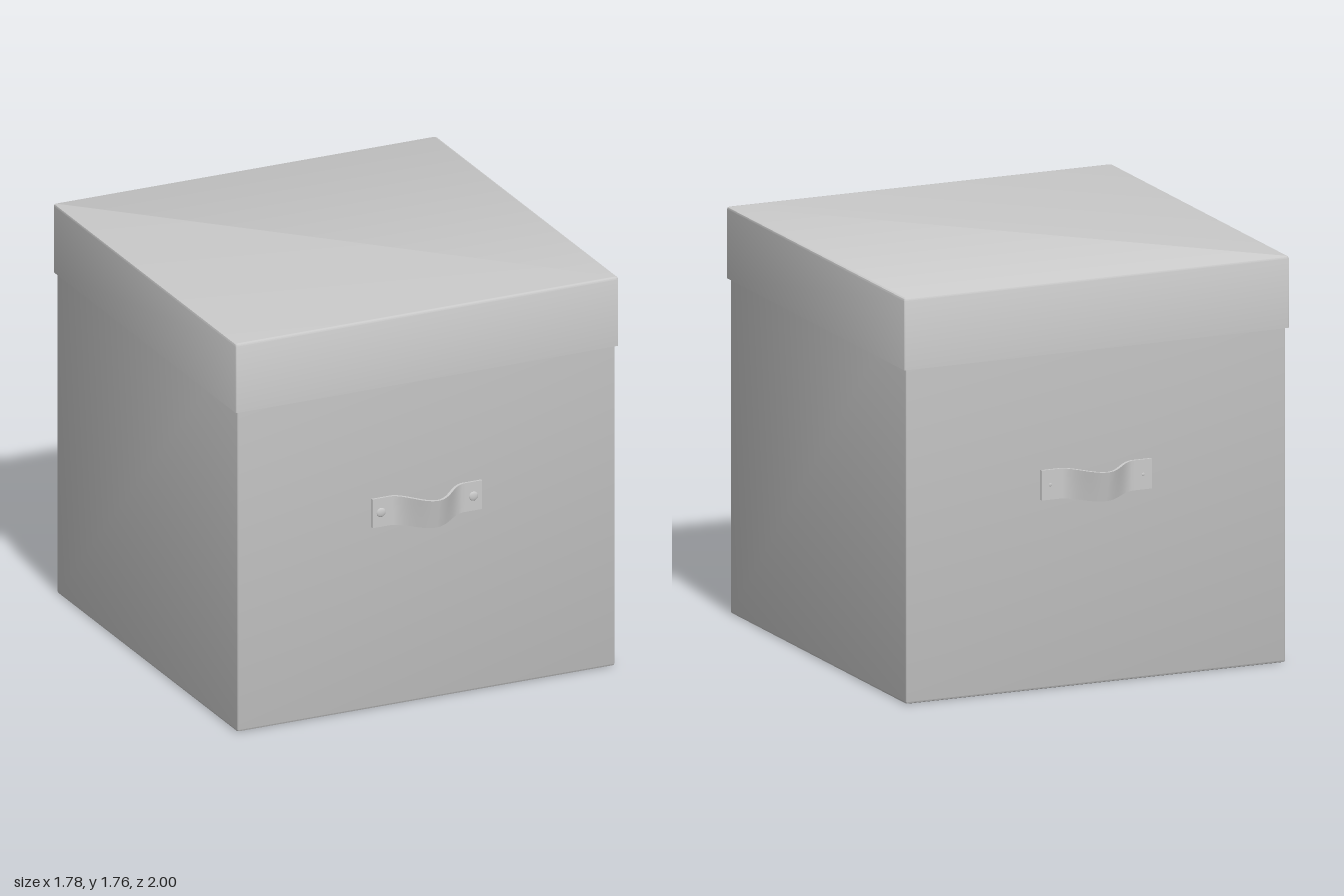
import * as THREE from 'three';
import { toCreasedNormals, mergeVertices } from 'three/addons/utils/BufferGeometryUtils.js';

const material = new THREE.MeshStandardMaterial({ color: 0xcccccc, side: THREE.DoubleSide });

function addMesh(parent, name, geometry) {
  const mesh = new THREE.Mesh(geometry, material);
  mesh.name = name;
  parent.add(mesh);
  return mesh;
}

// Closed surface through rounded squares: each ring is [half width, height, corner radius]
function squareLoft(rings) {
  const steps = 4, perRing = 4 * (steps + 1);
  const positions = [], index = [];
  for (const [half, y, r] of rings) {
    for (let c = 0; c < 4; c++) {
      for (let s = 0; s <= steps; s++) {
        const a = (c + s / steps) * Math.PI / 2;
        const mid = (c + 0.5) * Math.PI / 2;
        positions.push(
          Math.sign(Math.cos(mid)) * (half - r) + r * Math.cos(a), y,
          Math.sign(Math.sin(mid)) * (half - r) + r * Math.sin(a));
      }
    }
  }
  for (let k = 0; k < rings.length - 1; k++) {
    for (let i = 0; i < perRing; i++) {
      const a = k * perRing + i, b = k * perRing + (i + 1) % perRing;
      index.push(a, a + perRing, b, b, a + perRing, b + perRing);
    }
  }
  // End caps
  const last = (rings.length - 1) * perRing;
  for (let i = 1; i < perRing - 1; i++) {
    index.push(0, i, i + 1, last, last + i + 1, last + i);
  }
  const geometry = new THREE.BufferGeometry();
  geometry.setAttribute('position', new THREE.Float32BufferAttribute(positions, 3));
  geometry.setIndex(index);
  return toCreasedNormals(geometry, 0.6);
}

// Strap: a thin bar bent outward in the middle, its lower edge bulging a little less
function strapGeometry() {
  const width = 0.51, height = 0.13, thick = 0.012, span = 0.175;
  const geometry = new THREE.BoxGeometry(width, height, thick, 64, 4, 1);
  const p = geometry.attributes.position;
  for (let i = 0; i < p.count; i++) {
    const x = p.getX(i), y = p.getY(i), z = p.getZ(i);
    const inside = Math.abs(x) < span;
    const bell = inside ? 0.5 + 0.5 * Math.cos(Math.PI * x / span) : 0;
    const depth = 0.11 - 0.025 * (0.5 - y / height);
    const slope = inside ? -0.5 * depth * Math.PI / span * Math.sin(Math.PI * x / span) : 0;
    const n = Math.hypot(1, slope);
    p.setXYZ(i, x - z * slope / n, y - 0.01 * bell, depth * bell + z / n);
  }
  geometry.deleteAttribute('normal');
  geometry.deleteAttribute('uv');
  return toCreasedNormals(mergeVertices(geometry), 0.7);
}

// Handle with a strap and two domed rivets
function createHandle(name, rivetRadius) {
  const handle = new THREE.Group();
  handle.name = name;
  addMesh(handle, 'strap', strapGeometry()).position.set(0, 0.885, 0.884);
  for (const side of [-1, 1]) {
    const rivet = addMesh(handle, side > 0 ? 'leftRivet' : 'rightRivet',
      new THREE.SphereGeometry(rivetRadius, 24, 8, 0, Math.PI * 2, 0, Math.PI / 2));
    rivet.rotation.x = Math.PI / 2;
    rivet.scale.y = 0.3;
    rivet.position.set(side * 0.215, 0.885, 0.889);
  }
  return handle;
}

export function createModel() {
  const model = new THREE.Group();
  model.name = 'storageBox';

  // Body with softened bottom edge
  addMesh(model, 'body', squareLoft([
    [0.870, 0, 0.006], [0.877, 0.003, 0.009], [0.880, 0.010, 0.010], [0.880, 1.735, 0.010],
  ]));

  // Hollow lid: inner ceiling, inner wall, rim, outer wall, softened top edge
  addMesh(model, 'lid', squareLoft([
    [0.882, 1.740, 0.010], [0.882, 1.450, 0.010], [0.892, 1.450, 0.010],
    [0.892, 1.750, 0.010], [0.889, 1.757, 0.009], [0.882, 1.760, 0.006],
  ]));

  // Handles on front and back
  model.add(createHandle('frontHandle', 0.021));
  const back = createHandle('backHandle', 0.008);
  back.rotation.y = Math.PI;
  model.add(back);

  return model;
}
